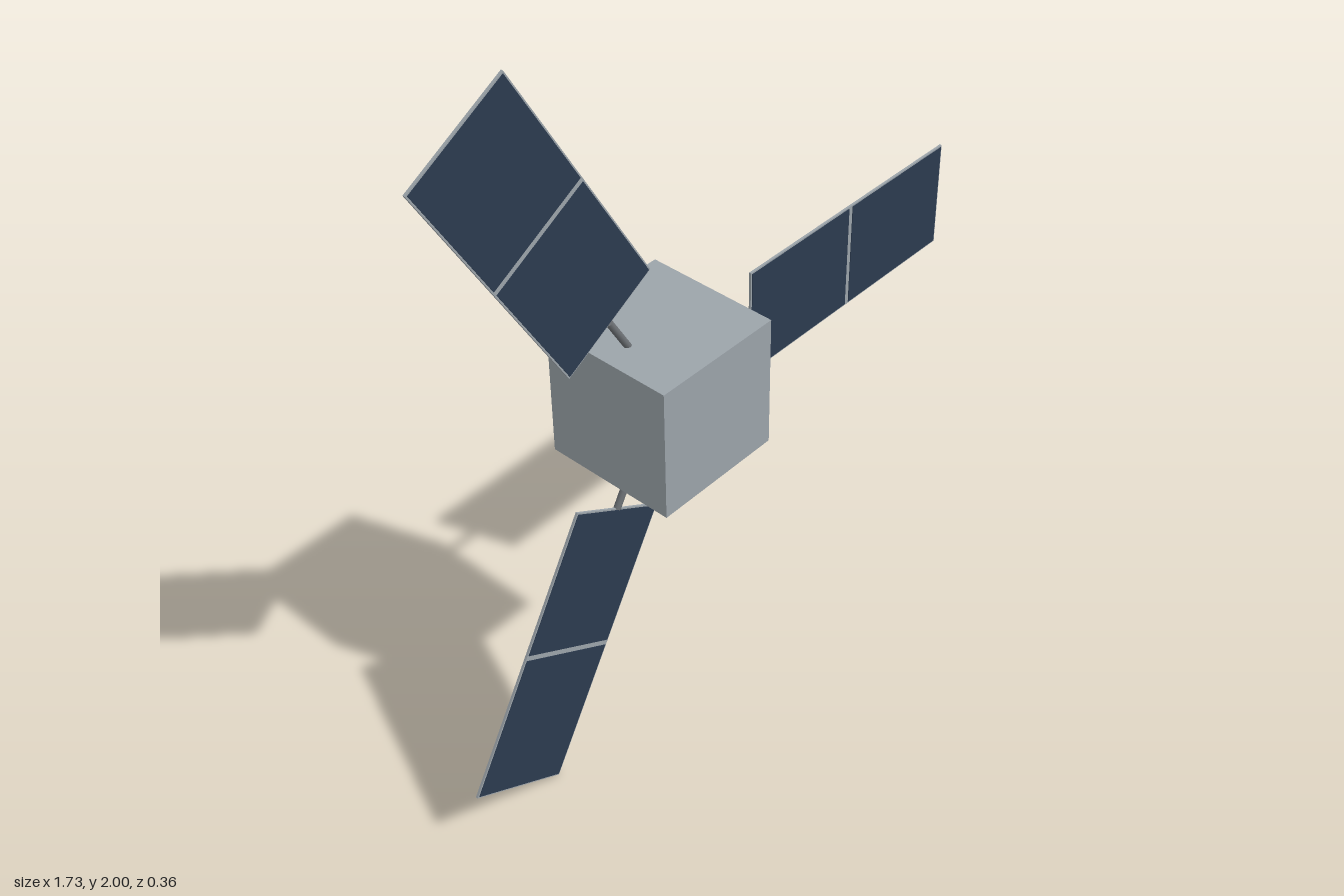
import * as THREE from 'three';

const bodyGrey = new THREE.MeshStandardMaterial({ name: 'body grey', color: 0x9ca4aa });
const cellBlue = new THREE.MeshStandardMaterial({ name: 'cell blue', color: 0x2c3b4f });
const boomGrey = new THREE.MeshStandardMaterial({ name: 'boom grey', color: 0x6c7074 });

const HUB_X = -0.203, HUB_Y = 1.0, HUB_SIZE = 0.356;
const INNER = 0.313, OUTER = 1.068, WIDTH = 0.3; // panel extent along and across its arm

function add(parent, name, geometry, material, x = 0, y = 0, z = 0) {
  const mesh = new THREE.Mesh(geometry, material);
  mesh.name = name;
  mesh.position.set(x, y, z);
  parent.add(mesh);
  return mesh;
}

// One solar wing pointing along +x from the hub centre
function createWing() {
  const wing = new THREE.Group();
  wing.name = 'solarWing';

  // Boom from inside the hub to the panel edge
  const boomStart = 0.1, boomLength = INNER + 0.002 - boomStart;
  const boom = new THREE.CylinderGeometry(0.009, 0.009, boomLength, 12).rotateZ(Math.PI / 2);
  add(wing, 'boom', boom, boomGrey, boomStart + boomLength / 2);

  // Backing panel
  const length = OUTER - INNER, mid = (INNER + OUTER) / 2;
  add(wing, 'panelFrame', new THREE.BoxGeometry(length, WIDTH, 0.006), bodyGrey, mid);

  // Two cell plates on the front, leaving a thin rim and a centre strip
  const rim = 0.004, gap = 0.014;
  const cellLength = (length - gap) / 2 - rim;
  const cell = new THREE.BoxGeometry(cellLength, WIDTH - rim * 2, 0.002);
  for (const side of [-1, 1]) {
    add(wing, 'solarCells', cell, cellBlue, mid + side * (gap + cellLength) / 2, 0, 0.0035);
  }
  return wing;
}

export function createModel() {
  const model = new THREE.Group();
  model.name = 'satellite';

  const assembly = new THREE.Group();
  assembly.name = 'hubAssembly';
  assembly.position.set(HUB_X, HUB_Y, 0);
  model.add(assembly);

  // Cube body
  add(assembly, 'body', new THREE.BoxGeometry(HUB_SIZE, HUB_SIZE, HUB_SIZE), bodyGrey);

  // Three wings, evenly spaced around the front axis
  for (let i = 0; i < 3; i++) {
    const wing = createWing();
    wing.rotation.z = (i * Math.PI * 2) / 3;
    assembly.add(wing);
  }
  return model;
}
